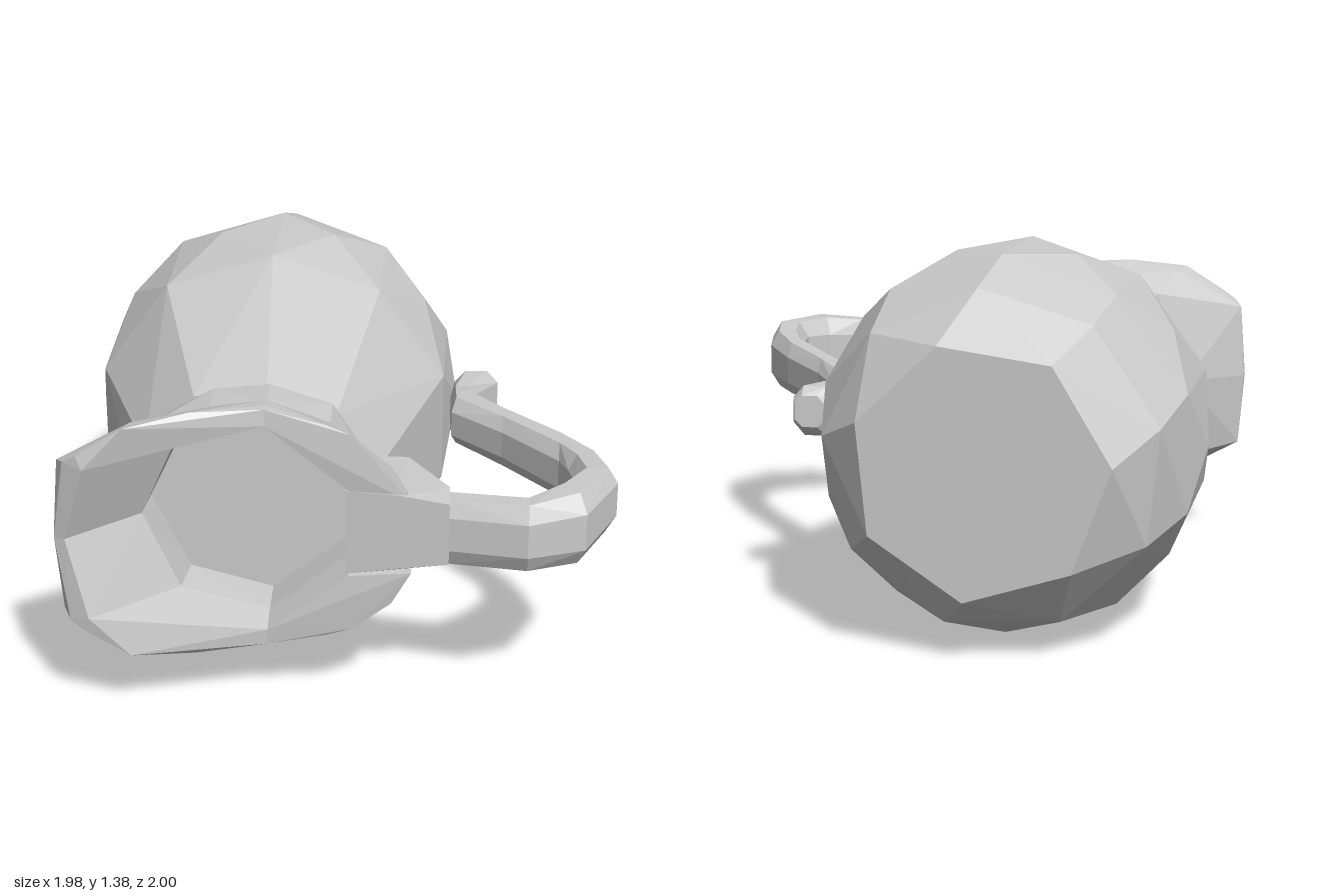
import * as THREE from 'three';
import { ConvexGeometry } from 'three/addons/geometries/ConvexGeometry.js';

const V = (x, y, z) => new THREE.Vector3(x, y, z);

export function createModel() {
  const group = new THREE.Group();
  group.name = 'pitcher';
  const material = new THREE.MeshStandardMaterial({ color: 0xcccccc, flatShading: true });

  // one faceted convex piece
  const hull = (name, points, parent = group) => {
    const mesh = new THREE.Mesh(new ConvexGeometry(points), material);
    mesh.name = name;
    parent.add(mesh);
  };
  const subgroup = (name) => {
    const g = new THREE.Group();
    g.name = name;
    group.add(g);
    return g;
  };

  // body: rings around the z axis [z, centre x, radius, sides, phase]
  const rings = [
    [-1, -0.30, 0.46, 7, 0.35],
    [-0.82, -0.30, 0.61, 9, 0.1],
    [-0.58, -0.295, 0.69, 10, 0.3],
    [-0.38, -0.295, 0.705, 10, 0.0],
    [-0.08, -0.295, 0.685, 10, 0.31],
    [0.57, -0.31, 0.435, 10, 0.2],
  ];
  const bodyPoints = [];
  for (const [z, cx, r, n, phase] of rings) {
    for (let i = 0; i < n; i++) {
      const a = phase + (i / n) * Math.PI * 2;
      bodyPoints.push(V(cx + r * Math.cos(a), 0.7 + r * Math.sin(a), z));
    }
  }
  hull('body', bodyPoints);

  // neck and lip stations on the upper half, from the spout to the handle
  const z0 = 0.565, z1 = 0.73;
  const stations = [
    { in0: [-0.69, 0.695], out0: [-0.73, 0.695], in1: [-0.70, 0.695], out1: [-0.765, 0.695],
      rimIn: [-0.94, 0.695, 0.95], rimOut: [-0.98, 0.695, 0.93], under: [-0.98, 0.695, 0.90] },
    { in0: [-0.55, 0.98], out0: [-0.61, 1.02], in1: [-0.57, 0.985], out1: [-0.64, 1.05],
      rimIn: [-0.86, 0.98, 1.0], rimOut: [-0.93, 1.0, 0.97], under: [-0.96, 0.98, 0.91] },
    { in0: [-0.25, 1.06], out0: [-0.25, 1.13], in1: [-0.25, 1.065], out1: [-0.25, 1.14],
      rimIn: [-0.25, 1.09, 0.845], rimOut: [-0.25, 1.15, 0.84], under: [-0.25, 1.15, 0.80] },
    { in0: [0.03, 0.84], out0: [0.10, 0.86], in1: [0.03, 0.845], out1: [0.12, 0.86],
      rimIn: [0.04, 0.86, 0.86], rimOut: [0.26, 0.83, 0.885], under: [0.26, 0.83, 0.85] },
  ];
  // extra outer points that round off each piece: [neck points, lip points]
  const rounding = [
    [[], []],
    [[[-0.45, 1.11]], [[-0.88, 1.03, 0.99], [-0.72, 1.13, 0.985], [-0.5, 1.16, 0.9], [-0.7, 1.12, 0.9]]],
    [[[-0.03, 1.06]], [[-0.03, 1.10, 0.85], [0.05, 1.07, 0.86], [0.19, 0.96, 0.87], [0.17, 0.95, 0.83]]],
  ];
  const neck = subgroup('neck');
  const lip = subgroup('lip');
  for (const up of [true, false]) {
    const P = (p, z = p[2]) => V(p[0], up ? p[1] : 1.39 - p[1], z);
    for (let i = 0; i < 3; i++) {
      const pair = [stations[i], stations[i + 1]];
      const [neckExtra, lipExtra] = rounding[i];
      hull('neckSegment', [
        ...pair.flatMap((s) => [P(s.in0, z0), P(s.out0, z0), P(s.in1, z1), P(s.out1, z1)]),
        ...neckExtra.flatMap((p) => [P(p, z0), P(p, z1)]),
      ], neck);
      hull('lipSegment', [
        ...pair.flatMap((s) => [P(s.in1, z1), P(s.out1, z1), P(s.rimIn), P(s.rimOut), P(s.under)]),
        ...neckExtra.map((p) => P(p, z1)),
        ...lipExtra.map((p) => P(p)),
      ], lip);
    }
  }

  // block joining the neck to the handle: [x, z, low y, high y]
  const blockOutline = [
    [0.03, 0.565, 0.52, 0.86], [0.24, 0.565, 0.58, 0.86], [0.39, 0.79, 0.60, 0.85],
    [0.39, 0.91, 0.61, 0.84], [0.22, 0.89, 0.58, 0.86], [0.03, 0.86, 0.54, 0.86],
  ];
  hull('handleBase', blockOutline.flatMap(([x, z, lo, hi]) => [V(x, lo, z), V(x, hi, z)]));

  // handle: chamfered sections [inner x, inner z, outer x, outer z, low y, high y]
  const sections = [
    [0.39, 0.80, 0.39, 0.91, 0.60, 0.85],
    [0.66, 0.85, 0.66, 0.975, 0.61, 0.86],
    [0.76, 0.76, 0.86, 0.91, 0.61, 0.88],
    [0.83, 0.67, 0.98, 0.66, 0.63, 0.88],
    [0.81, 0.55, 0.93, 0.48, 0.64, 0.87],
    [0.78, 0.46, 0.79, 0.27, 0.65, 0.86],
    [0.58, 0.20, 0.59, 0.04, 0.65, 0.85],
    [0.39, 0.00, 0.46, -0.16, 0.65, 0.84],
    [0.385, -0.17, 0.46, -0.17, 0.64, 0.83],
    [0.40, -0.33, 0.57, -0.33, 0.64, 0.83],
    [0.44, -0.36, 0.55, -0.38, 0.68, 0.80],
  ];
  const octagon = ([xi, zi, xo, zo, lo, hi]) =>
    [[0, 0.25], [0, 0.75], [0.25, 1], [0.75, 1], [1, 0.75], [1, 0.25], [0.75, 0], [0.25, 0]]
      .map(([u, v]) => V(xi + (xo - xi) * u, lo + (hi - lo) * v, zi + (zo - zi) * u));
  const handle = subgroup('handle');
  for (let i = 0; i < sections.length - 1; i++) {
    hull('handleSegment', [...octagon(sections[i]), ...octagon(sections[i + 1])], handle);
  }

  return group;
}
